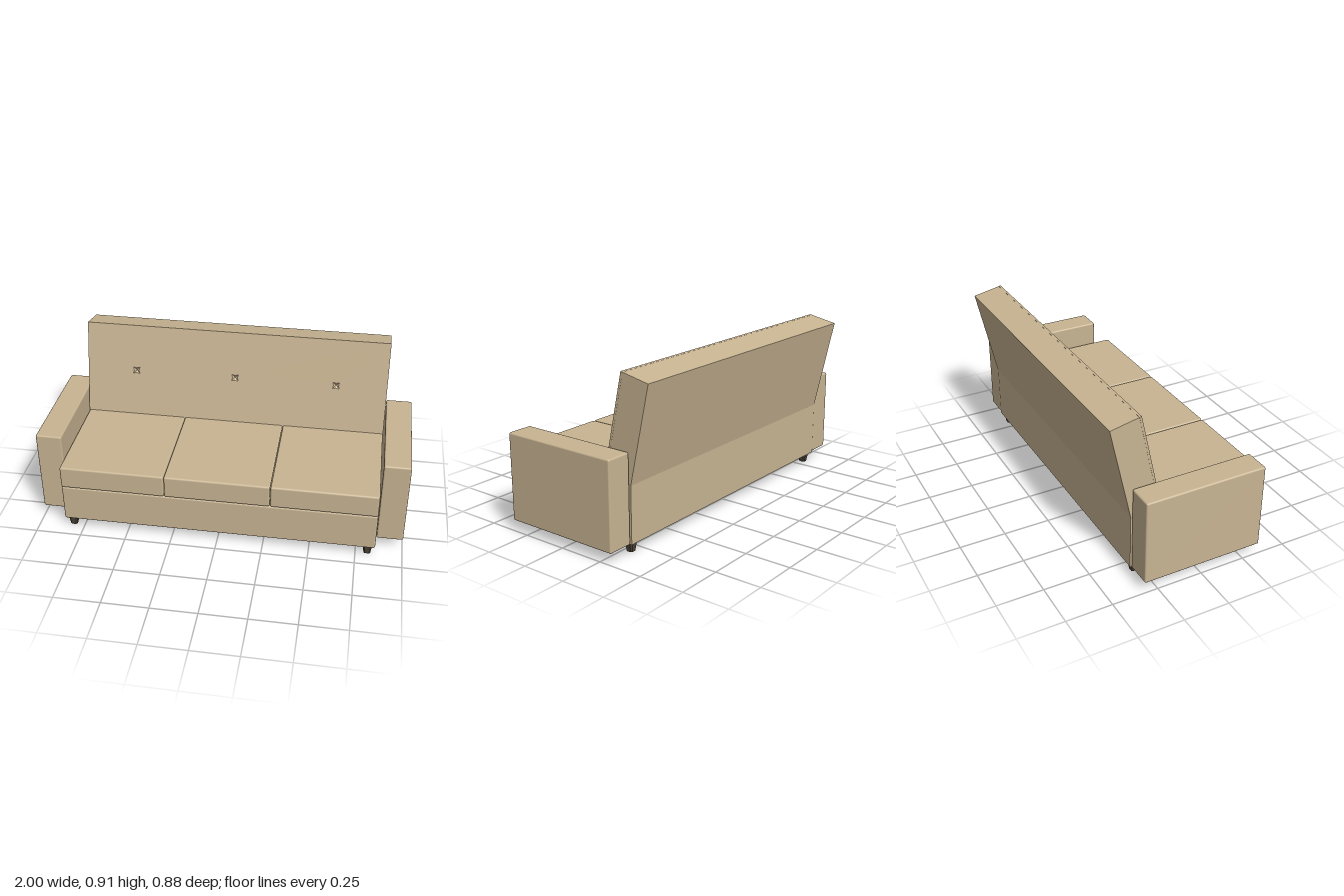
import * as THREE from 'three';
import { RoundedBoxGeometry } from 'three/addons/geometries/RoundedBoxGeometry.js';

export function createModel() {
  const sofa = new THREE.Group();
  sofa.name = 'sofa';

  const fabric = new THREE.MeshStandardMaterial({ color: 0xc8b492 });
  fabric.name = 'tan fabric';
  const wood = new THREE.MeshStandardMaterial({ color: 0x4c4437 });
  wood.name = 'dark wood';

  function add(name, geometry, material, parent = sofa) {
    const mesh = new THREE.Mesh(geometry, material);
    mesh.name = name;
    parent.add(mesh);
    return mesh;
  }

  // Softly rounded block given by its min and max corners
  function block(name, [x0, y0, z0], [x1, y1, z1], radius) {
    const geometry = new RoundedBoxGeometry(x1 - x0, y1 - y0, z1 - z0, 2, radius);
    geometry.translate((x0 + x1) / 2, (y0 + y1) / 2, (z0 + z1) / 2);
    return add(name, geometry, fabric);
  }

  // Seat base, arms and three seat cushions
  block('seatBase', [-0.853, 0.055, -0.3], [0.853, 0.268, 0.434], 0.01);
  block('leftArm', [0.858, 0.058, -0.322], [1, 0.53, 0.346], 0.009);
  block('rightArm', [-1, 0.058, -0.322], [-0.858, 0.53, 0.346], 0.009);
  for (const i of [-1, 0, 1]) {
    const x = i * 0.569;
    block('seatCushion', [x - 0.283, 0.271, -0.2], [x + 0.283, 0.398, 0.44], 0.01);
  }

  // Back body: side profile (z, y) swept across the width
  const width = 1.706;
  const profile = new THREE.Shape([
    [-0.145, 0.055], [-0.145, 0.267], [-0.287, 0.909],
    [-0.44, 0.878], [-0.325, 0.36], [-0.325, 0.055],
  ].reverse().map(([z, y]) => new THREE.Vector2(z, y)));
  const body = new THREE.ExtrudeGeometry(profile, { depth: width, bevelEnabled: false });
  body.translate(0, 0, -width / 2).rotateY(-Math.PI / 2);
  add('backrestBody', body, fabric);

  // Tilted front padding of the backrest, with star-shaped tuft holes
  const padding = new THREE.Group();
  padding.name = 'backrestFront';
  padding.position.set(0, 0.27, -0.133);
  padding.rotation.x = -0.2177;
  sofa.add(padding);

  const star = [];
  for (let i = 0; i < 8; i++) {
    const a = (i / 8) * Math.PI * 2;
    const r = i % 2 ? 0.027 : 0.014;
    star.push(new THREE.Vector2(Math.cos(a) * r, Math.sin(a) * r));
  }
  const tufts = [-0.57, 0, 0.57].map((x) => new THREE.Vector2(x, 0.394));

  const h = 0.6575;
  const face = new THREE.Shape([
    new THREE.Vector2(-width / 2, 0), new THREE.Vector2(width / 2, 0),
    new THREE.Vector2(width / 2, h), new THREE.Vector2(-width / 2, h),
  ]);
  for (const t of tufts) face.holes.push(new THREE.Path(star.map((p) => p.clone().add(t))));
  const pad = new THREE.ExtrudeGeometry(face, { depth: 0.012, bevelEnabled: false });
  pad.translate(0, 0, -0.012);
  add('backrestPadding', pad, fabric, padding);

  // Pinched dimple: fan from the star rim to a sunken centre
  const fan = [];
  star.forEach((p, i) => {
    const q = star[(i + 1) % star.length];
    fan.push(p.x, p.y, 0, q.x, q.y, 0, 0, 0, -0.011);
  });
  const dimple = new THREE.BufferGeometry();
  dimple.setAttribute('position', new THREE.Float32BufferAttribute(fan, 3));
  dimple.computeVertexNormals();
  for (const t of tufts) add('tuft', dimple, fabric, padding).position.set(t.x, t.y, 0);

  // Tapered legs with chamfered corners
  const w = 0.026, c = 0.017;
  const section = new THREE.Shape([
    [w, -c], [w, c], [c, w], [-c, w], [-w, c], [-w, -c], [-c, -w], [c, -w],
  ].map(([x, y]) => new THREE.Vector2(x, y)));
  const leg = new THREE.ExtrudeGeometry(section, { depth: 0.057, bevelEnabled: false });
  leg.rotateX(-Math.PI / 2);
  const pos = leg.attributes.position;
  for (let i = 0; i < pos.count; i++) {
    const s = pos.getY(i) < 0.01 ? 0.68 : 1;
    pos.setX(i, pos.getX(i) * s);
    pos.setZ(i, pos.getZ(i) * s);
  }
  leg.computeVertexNormals();
  for (const x of [-0.813, 0.813]) {
    for (const z of [0.394, -0.284]) add('leg', leg, wood).position.set(x, 0, z);
  }

  return sofa;
}
